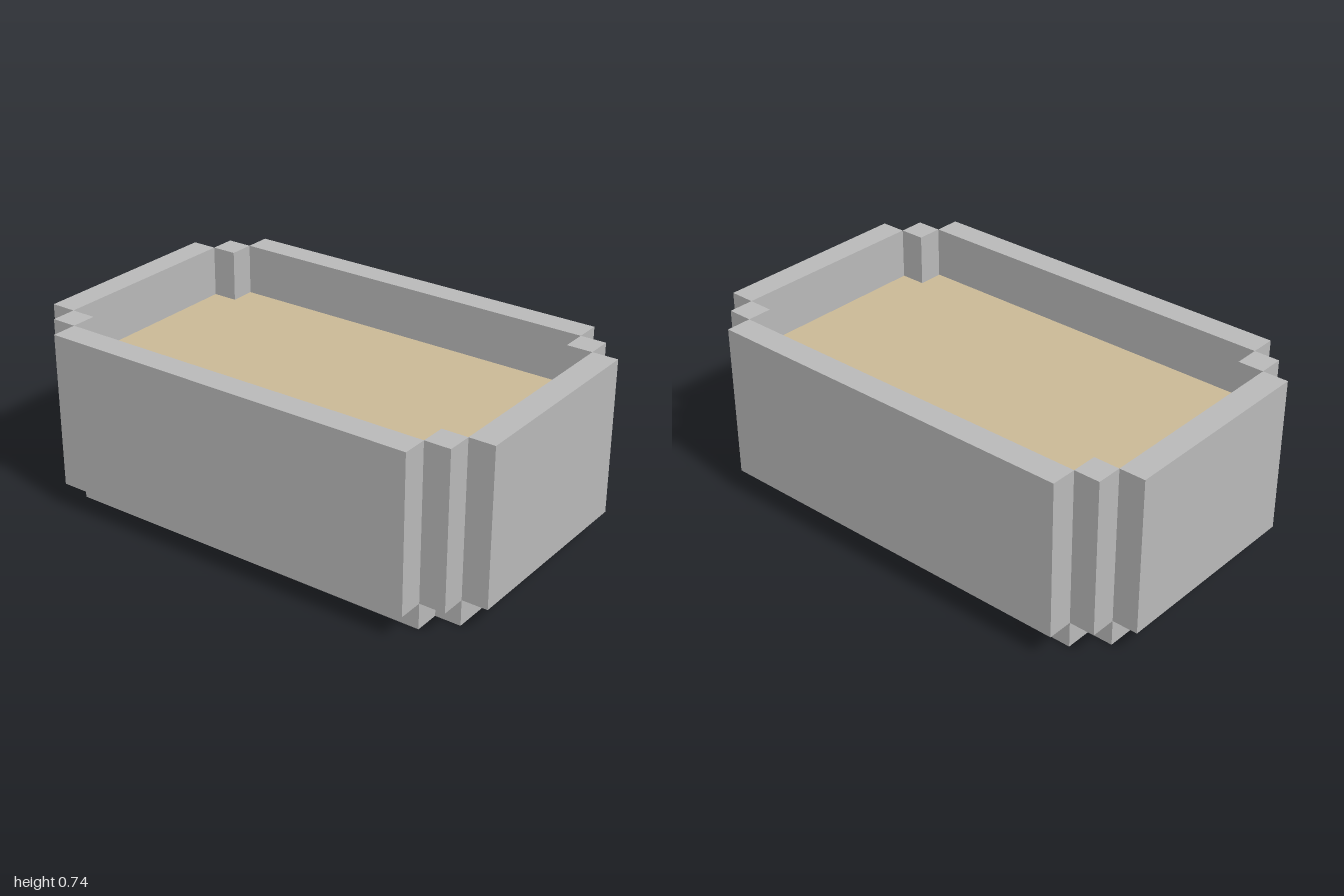
import * as THREE from 'three';

// Everything sits on a regular block grid: 19 x 7 x 12 blocks
const U = 2 / 19;

export function createModel() {
  const group = new THREE.Group();
  group.name = 'planterBox';

  const stone = new THREE.MeshStandardMaterial({ color: 0xb9b9b9 });
  stone.name = 'grey stone';
  const sand = new THREE.MeshStandardMaterial({ color: 0xcab996 });
  sand.name = 'sand';

  const add = (name, geometry, material) => {
    const mesh = new THREE.Mesh(geometry, material);
    mesh.name = name;
    group.add(mesh);
    return mesh;
  };

  // Box given by size and centre in blocks, standing on block row 1
  const wall = (name, w, d, x, z) => {
    add(name, new THREE.BoxGeometry(w * U, 6 * U, d * U), stone)
      .position.set(x * U, 4 * U, z * U);
  };

  // Rectangle with a one-block notch at each corner
  const outline = new THREE.Shape([
    [8.5, -4], [8.5, 4], [7.5, 4], [7.5, 5], [-7.5, 5], [-7.5, 4],
    [-8.5, 4], [-8.5, -4], [-7.5, -4], [-7.5, -5], [7.5, -5], [7.5, -4],
  ].map(([x, z]) => new THREE.Vector2(x * U, z * U)));
  const slab = (name, bottom, height, material) => {
    const geometry = new THREE.ExtrudeGeometry(outline, { depth: height * U, bevelEnabled: false });
    geometry.rotateX(-Math.PI / 2);
    add(name, geometry, material).position.y = bottom * U;
  };

  slab('base', 0, 1, stone);
  slab('sandFill', 1, 4, sand);

  // Walls and stepped corner posts
  for (const s of [1, -1]) {
    wall(s > 0 ? 'frontWall' : 'backWall', 15, 1, 0, s * 5.5);
    wall(s > 0 ? 'leftWall' : 'rightWall', 1, 8, s * 9, 0);
    for (const t of [1, -1]) {
      wall((t > 0 ? 'front' : 'back') + (s > 0 ? 'Left' : 'Right') + 'Post', 1, 1, s * 8, t * 4.5);
    }
  }
  return group;
}
